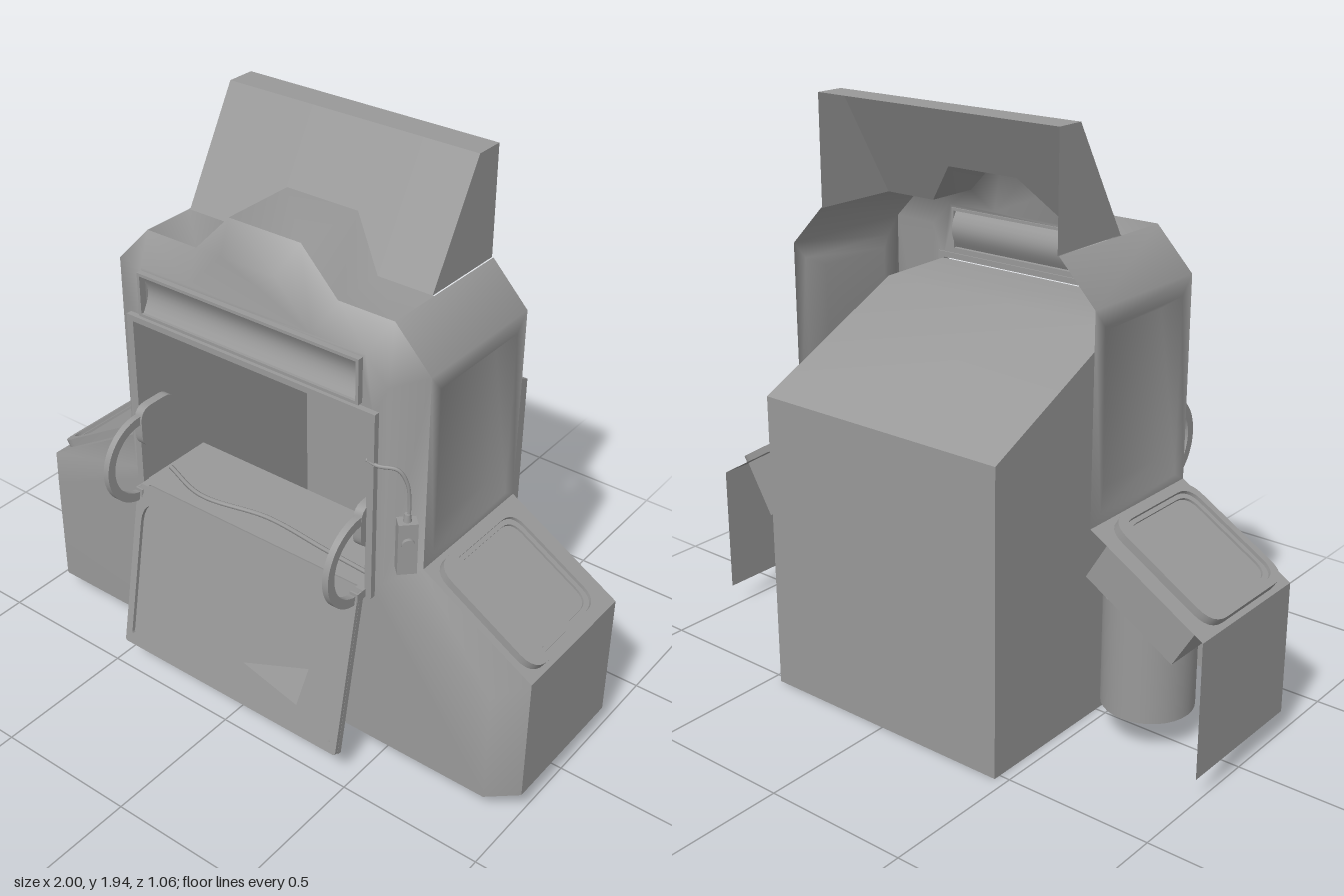
import * as THREE from 'three';
import { mergeVertices, toCreasedNormals } from 'three/addons/utils/BufferGeometryUtils.js';

const grey = new THREE.MeshStandardMaterial({ color: 0x999999, side: THREE.DoubleSide });
const V = (x, y, z) => new THREE.Vector3(x, y, z);

function add(parent, name, geo, x = 0, y = 0, z = 0) {
  const m = new THREE.Mesh(geo, grey);
  m.name = name;
  m.position.set(x, y, z);
  parent.add(m);
  return m;
}

// Surface from a list of triangles / quads given as corner arrays
function surface(list) {
  const pos = [];
  for (const f of list)
    for (let i = 1; i < f.length - 1; i++) pos.push(...f[0], ...f[i], ...f[i + 1]);
  const g = new THREE.BufferGeometry();
  g.setAttribute('position', new THREE.Float32BufferAttribute(pos, 3));
  return g;
}
const faces = (list, crease = 0.2) => toCreasedNormals(surface(list), crease);

// Fully smooth surface, normals weighted by face area
function smoothFaces(list) {
  const g = mergeVertices(surface(list), 1e-4);
  g.computeVertexNormals();
  return g;
}

const poly = pts => new THREE.Shape(pts.map(p => new THREE.Vector2(p[0], p[1])));
const rect = (x0, y0, x1, y1) => poly([[x0, y0], [x1, y0], [x1, y1], [x0, y1]]);

function rounded(w, h, r, rBottom = r) {
  const s = new THREE.Shape();
  s.moveTo(-w + rBottom, -h);
  s.lineTo(w - rBottom, -h);
  s.quadraticCurveTo(w, -h, w, -h + rBottom);
  s.lineTo(w, h - r);
  s.quadraticCurveTo(w, h, w - r, h);
  s.lineTo(-w + r, h);
  s.quadraticCurveTo(-w, h, -w, h - r);
  s.lineTo(-w, -h + rBottom);
  s.quadraticCurveTo(-w, -h, -w + rBottom, -h);
  return s;
}

// Extruded plate, optionally with a hole
function plate(outer, hole, depth) {
  if (hole) outer.holes.push(hole);
  return toCreasedNormals(new THREE.ExtrudeGeometry(outer, { depth, bevelEnabled: false, curveSegments: 6 }), 0.6);
}

const mirrorLine = half => [...half, ...half.slice().reverse().map(([x, y]) => [-x, y])];
const hoodZ = y => 0.06 - 0.21 * (y - 1.575) / 0.365;

function addHousing(model) {
  const O = mirrorLine([[1, 0.08], [1, 0.53], [0.6, 0.77], [0.6, 1.44], [0.47, 1.575], [0.27, 1.575], [0.135, 1.715]]);
  const I = mirrorLine([[0.91, 0.08], [0.91, 0.48], [0.51, 0.72], [0.51, 1.41], [0.43, 1.49], [0.235, 1.49], [0.1, 1.63]]);
  const front = [], bins = [], upper = [];
  for (let i = 0; i < O.length - 1; i++) {
    const a = O[i], b = O[i + 1], c = I[i], d = I[i + 1];
    // front chamfer
    front.push([[...c, 0.33], [...a, 0.25], [...b, 0.25], [...d, 0.33]]);
    if (i === 2 || i === 10) continue;
    // walls, stopping at the hood in the middle
    const mid = i > 3 && i < 9;
    const za = mid ? hoodZ(a[1]) : -0.25, zb = mid ? hoodZ(b[1]) : -0.25;
    (i < 2 || i > 10 ? bins : upper).push([[...a, 0.25], [...a, za], [...b, zb], [...b, 0.25]]);
  }
  // upper side walls with a softly sunken panel
  const rings = [[0.77, 1.44, -0.25, 0.25, 0.6], [0.8, 1.38, -0.2, 0.2, 0.6], [0.86, 1.35, -0.14, 0.14, 0.565]]
    .map(([y0, y1, z0, z1, x]) => [[x, y0, z1], [x, y0, z0], [x, y1, z0], [x, y1, z1]]);
  const side = [rings[2]];
  for (let k = 0; k < 2; k++)
    for (let j = 0; j < 4; j++) {
      const n = (j + 1) % 4;
      side.push([rings[k][j], rings[k][n], rings[k + 1][n], rings[k + 1][j]]);
    }
  for (const f of side) upper.push(f, f.map(([x, y, z]) => [-x, y, z]).reverse());
  // front face with the window and sign openings
  const shape = poly(I);
  shape.holes.push(rect(-0.46, 0.69, 0.46, 1.3), rect(-0.42, 1.34, 0.41, 1.47));
  const fg = new THREE.ShapeGeometry(shape), p = fg.attributes.position, ix = fg.index.array;
  const at = i => [p.getX(i), p.getY(i), 0.33];
  for (let i = 0; i < ix.length; i += 3) front.push([at(ix[i]), at(ix[i + 1]), at(ix[i + 2])]);

  add(model, 'housingFront', smoothFaces(front));
  add(model, 'housingUpperWalls', smoothFaces(upper));
  add(model, 'binWalls', faces(bins));
}

function hood() {
  const low = mirrorLine([[0.465, 1.575], [0.27, 1.575], [0.135, 1.715]]);
  const list = [[[-0.465, 1.94, -0.15], [0.465, 1.94, -0.15], [0.465, 1.94, -0.25], [-0.465, 1.94, -0.25]]];
  for (let i = 0; i < low.length - 1; i++) {
    const a = low[i], b = low[i + 1];
    list.push([[...a, hoodZ(a[1])], [a[0], 1.94, -0.15], [b[0], 1.94, -0.15], [...b, hoodZ(b[1])]]);
  }
  for (const x of [-0.465, 0.465]) {
    const f = [[x, 1.575, 0.06], [x, 1.575, -0.25], [x, 1.94, -0.25], [x, 1.94, -0.15]];
    list.push(x > 0 ? f : f.reverse());
  }
  return faces(list);
}

// Inner cabinet: open at the window and underneath, with a sill and a sloping ceiling
function cabinet() {
  const P = [[0.05, 0], [0.05, 0.69], [0.33, 0.69], [0.33, 1.295], [0.05, 1.29], [-0.525, 1.02], [-0.525, 0]];
  const list = [], w = 0.463;
  for (let i = 0; i < P.length - 1; i++) {
    if (i === 2) continue;
    const [za, ya] = P[i], [zb, yb] = P[i + 1];
    list.push([[-w, ya, za], [w, ya, za], [w, yb, zb], [-w, yb, zb]]);
  }
  for (const t of THREE.ShapeUtils.triangulateShape(P.map(p => new THREE.Vector2(...p)), []))
    for (const s of [-1, 1]) {
      const f = t.map(i => [s * w, P[i][1], P[i][0]]);
      list.push(s > 0 ? f.reverse() : f);
    }
  return faces(list, 0.5);
}

// Side hatch with its chute and canister (built for +x)
function sideHatch() {
  const side = new THREE.Group();
  const hatch = new THREE.Group();
  hatch.name = 'hatch';
  const n = V(0.514, 0.857, 0), u = V(0.857, -0.514, 0);
  hatch.quaternion.setFromRotationMatrix(new THREE.Matrix4().makeBasis(u, V(0, 0, -1), n));
  hatch.position.set(0.8, 0.65, 0.018);
  add(hatch, 'hatchFrame', plate(rounded(0.215, 0.207, 0.07), rounded(0.19, 0.182, 0.06), 0.028));
  add(hatch, 'hatchInnerRim', plate(rounded(0.19, 0.182, 0.06), rounded(0.175, 0.165, 0.055), 0.016));
  add(hatch, 'hatchPanel', plate(rounded(0.176, 0.166, 0.055), null, 0.008));
  add(hatch, 'chute', new THREE.BoxGeometry(0.37, 0.39, 0.205), 0, 0, -0.1025);
  side.add(hatch);
  add(side, 'canister', new THREE.CylinderGeometry(0.15, 0.15, 0.38, 32), 0.66, 0.3, 0);
  return side;
}

export function createModel() {
  const model = new THREE.Group();
  addHousing(model);
  add(model, 'hood', hood());
  add(model, 'cabinet', cabinet());

  for (const s of [1, -1]) {
    const h = sideHatch();
    h.name = s > 0 ? 'leftHatch' : 'rightHatch';
    h.scale.x = s;
    model.add(h);
  }

  // Sign recess above the window: frame and shallow concave back
  add(model, 'signFrame', plate(rect(-0.43, 1.33, 0.42, 1.48), rect(-0.42, 1.34, 0.41, 1.47), 0.025), 0, 0, 0.325);
  const curve = [];
  const bow = k => [1.34 + 0.13 * k / 8, 0.34 - 0.025 * Math.sin(Math.PI * k / 8)];
  for (let i = 0; i < 8; i++) {
    const [ya, za] = bow(i), [yb, zb] = bow(i + 1);
    curve.push([[-0.42, ya, za], [0.41, ya, za], [0.41, yb, zb], [-0.42, yb, zb]]);
  }
  add(model, 'signPanel', smoothFaces(curve));

  // Window frame
  add(model, 'windowFrame', plate(rect(-0.485, 0.66, 0.48, 1.32), rect(-0.46, 0.69, 0.455, 1.3), 0.025), 0, 0, 0.325);

  // Drop-down door, hinged at the sill
  const door = new THREE.Group();
  door.name = 'door';
  door.position.set(0, 0.395, 0.417);
  door.rotation.x = -0.184;
  add(door, 'doorSlab', new THREE.BoxGeometry(0.915, 0.6, 0.018));
  add(door, 'doorRim', plate(rounded(0.457, 0.3, 0.01), rounded(0.43, 0.262, 0.09, 0.01), 0.014), 0, 0, 0.008);
  model.add(door);
  add(model, 'doorFlap', faces([[[0.05, 0.25, 0.458], [0.3, 0.23, 0.492], [0.31, 0.35, 0.44]]]));

  // Curved door stays with mounting plates inside the window
  const arc = new THREE.Shape();
  arc.absarc(0, 0, 0.157, -1.4, 1.7);
  arc.absarc(0, 0, 0.126, 1.7, -1.4, true);
  const stay = new THREE.ExtrudeGeometry(arc, { depth: 0.022, bevelEnabled: false, curveSegments: 20 });
  stay.rotateY(-Math.PI / 2);
  for (const s of [-1, 1]) {
    add(model, 'doorStay', toCreasedNormals(stay, 0.6), s * 0.445 + 0.011, 0.81, 0.375);
    add(model, 'stayPlate', plate(rounded(0.08, 0.075, 0.05), null, 0.03), s * 0.442 - 0.015, 0.92, 0.295).rotation.y = Math.PI / 2;
    add(model, 'stayFoot', new THREE.BoxGeometry(0.03, 0.03, 0.05), s * 0.445, 0.675, 0.365);
  }

  // Cables
  const tube = (name, pts, r) =>
    add(model, name, new THREE.TubeGeometry(new THREE.CatmullRomCurve3(pts.map(p => V(...p))), 32, r, 6));
  tube('sillCable', [[-0.44, 0.7, 0.24], [-0.25, 0.698, 0.3], [0, 0.698, 0.26], [0.25, 0.698, 0.28], [0.44, 0.705, 0.3]], 0.008);
  tube('pendantCable', [[0.45, 1.155, 0.345], [0.49, 1.15, 0.345], [0.545, 1.145, 0.32], [0.568, 1.1, 0.305], [0.575, 1.03, 0.3], [0.575, 0.96, 0.303]], 0.006);

  // Hanging control on the corner
  const pendant = new THREE.Group();
  pendant.name = 'pendant';
  pendant.position.set(0.573, 0.88, 0.305);
  pendant.rotation.y = Math.PI / 4;
  add(pendant, 'pendantBody', new THREE.BoxGeometry(0.06, 0.18, 0.045));
  add(pendant, 'pendantCollar', new THREE.CylinderGeometry(0.01, 0.014, 0.03, 12), 0, 0.1, 0);
  add(pendant, 'pendantButton', new THREE.CylinderGeometry(0.02, 0.02, 0.016, 16), 0, 0.022, 0.026).rotation.x = Math.PI / 2;
  model.add(pendant);

  return model;
}
